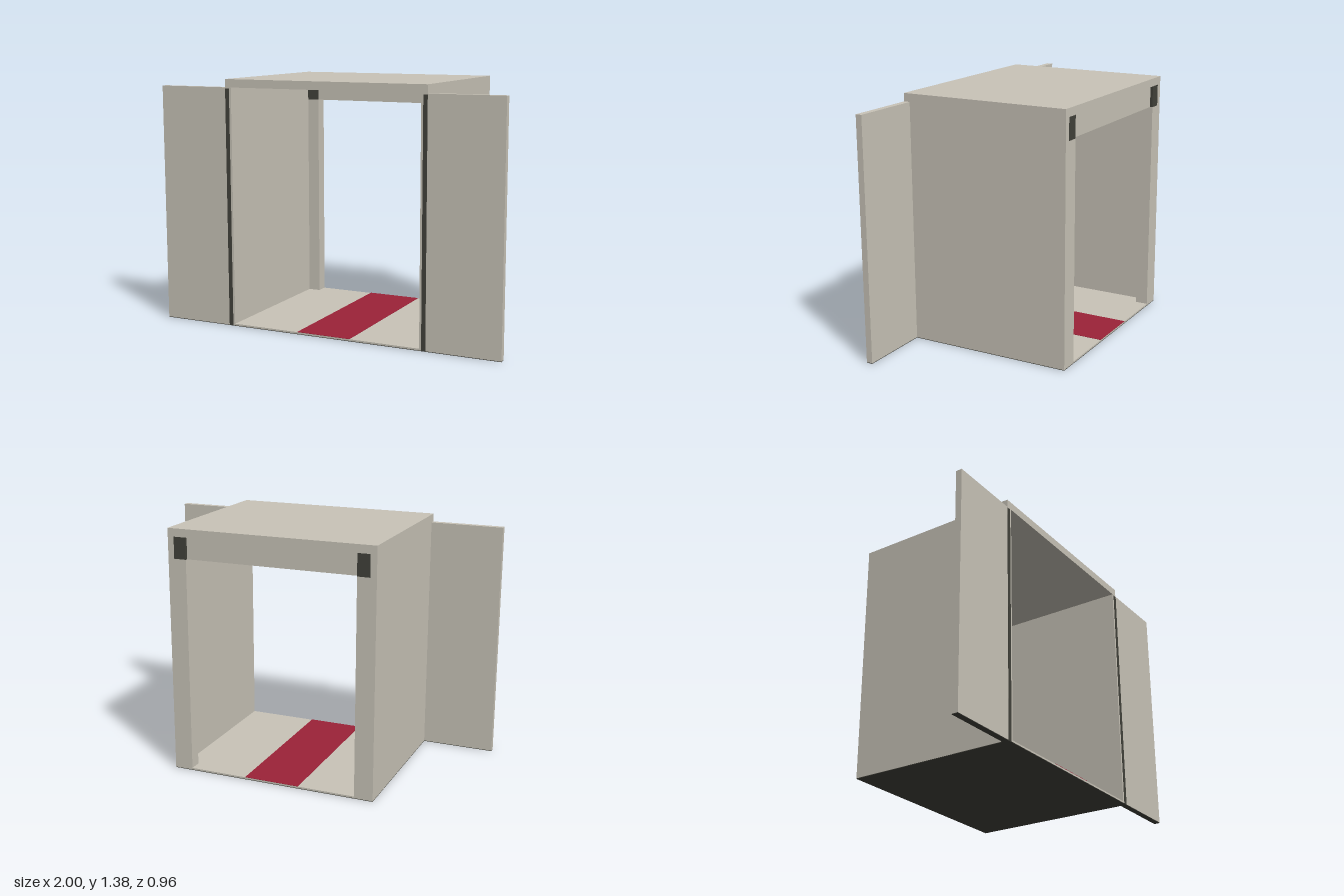
import * as THREE from 'three';

export function createModel() {
  const model = new THREE.Group();
  const make = (name, color) => {
    const m = new THREE.MeshStandardMaterial({ color });
    m.name = name;
    return m;
  };
  const beige = make('beige panel', 0xc9c4b8);
  const dark = make('dark metal', 0x42423b);
  const red = make('red carpet', 0x9c2238);

  // Box given by its lower and upper limits on each axis
  const box = (name, mat, [x0, x1], [y0, y1], [z0, z1]) => {
    const mesh = new THREE.Mesh(new THREE.BoxGeometry(x1 - x0, y1 - y0, z1 - z0), mat);
    mesh.position.set((x0 + x1) / 2, (y0 + y1) / 2, (z0 + z1) / 2);
    mesh.name = name;
    model.add(mesh);
  };
  // The same box on the left (+x) and the right (-x)
  const pair = (name, mat, [x0, x1], y, z) => {
    box(name + 'Left', mat, [x0, x1], y, z);
    box(name + 'Right', mat, [-x1, -x0], y, z);
  };

  const W = 0.59, T = 0.555, D = 0.48, H = 1.375, C = 1.33, B = 0.003;

  // Shell: underside, floor, walls and roof
  box('underside', dark, [-W, W], [0, B], [-D, D]);
  box('floor', beige, [-T, T], [B, 0.012], [-D, D]);
  pair('wall', beige, [T, W], [B, C], [-D, D]);
  box('roof', beige, [-W, W], [C, H], [-D, D]);

  // Carpet strip along the floor
  box('carpet', red, [-0.16, 0.155], [0.012, 0.014], [-D, D]);

  // Rear door frame with dark corner blocks
  pair('rearPost', beige, [0.485, T], [0.012, 1.21], [-D, -0.41]);
  pair('cornerBlock', dark, [0.485, T], [1.21, C], [-D, -0.41]);
  box('rearLintel', beige, [-0.485, 0.485], [1.21, C], [-0.465, -0.411]);

  // Open sliding doors with their bottom tracks and edge seals
  pair('door', beige, [W, 1], [B, C], [0.445, D]);
  pair('doorTrack', dark, [W, 1], [0, B], [0.445, D]);
  pair('doorSeal', dark, [0.567, W], [B, 1.325], [D, D + 0.002]);

  return model;
}
